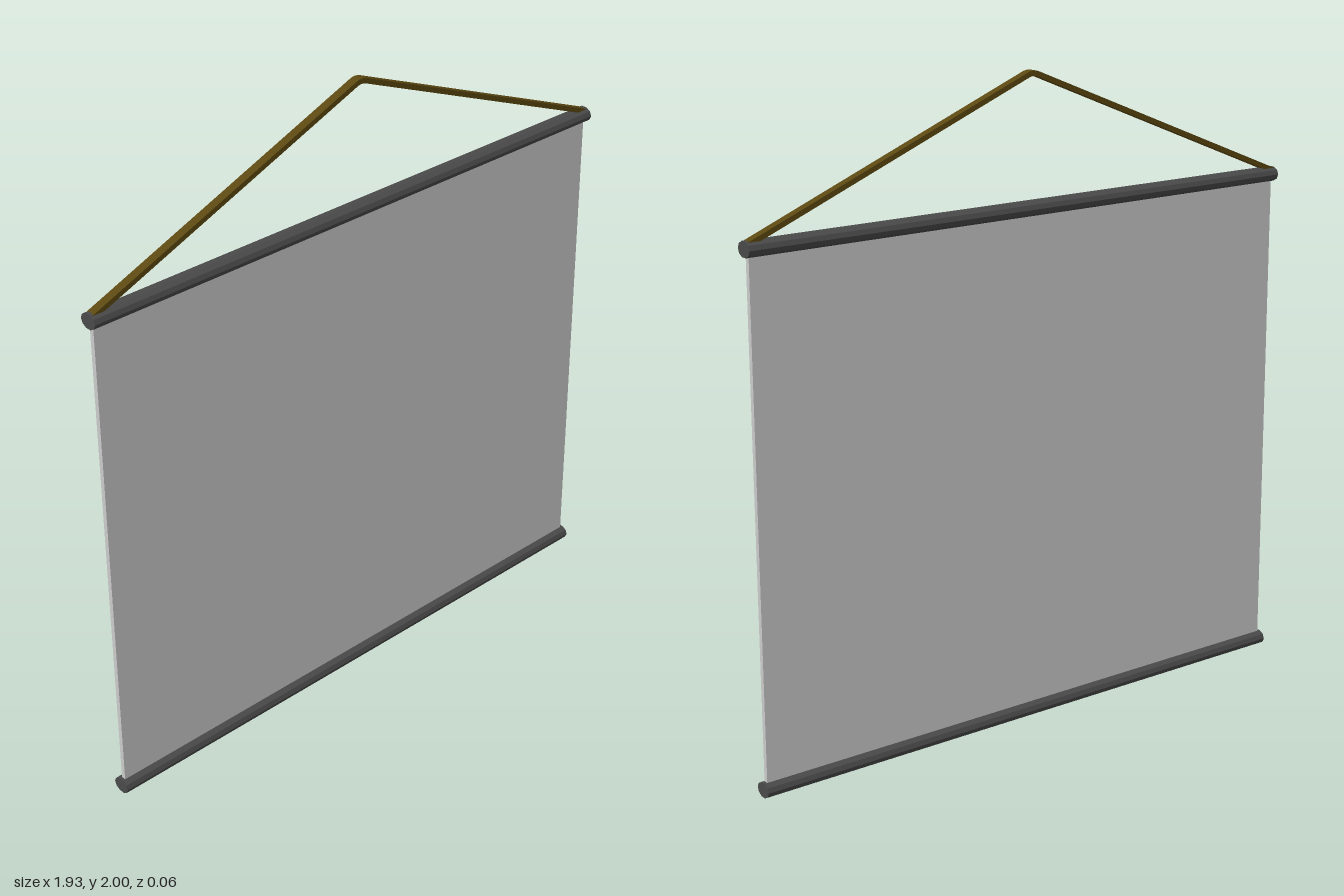
import * as THREE from 'three';

const ROD_LENGTH = 1.934;
const ROD_HALF_HEIGHT = 0.0225;

function addMesh(group, name, geometry, color, flatShading = false) {
  const mesh = new THREE.Mesh(geometry, new THREE.MeshStandardMaterial({ color, flatShading }));
  mesh.name = name;
  group.add(mesh);
  return mesh;
}

// Ten-sided rod lying along x, wider in z than it is tall
function rodGeometry() {
  const geometry = new THREE.CylinderGeometry(1, 1, ROD_LENGTH, 10);
  geometry.rotateZ(Math.PI / 2);
  geometry.scale(1, ROD_HALF_HEIGHT / Math.sin(Math.PI * 0.4), 0.03);
  return geometry;
}

// Flat strap bent over a small rounded peak, extruded across its width
function strapGeometry() {
  const s = new THREE.Shape();
  s.moveTo(-0.967, 1.616);
  s.lineTo(-0.022, 1.995);
  s.quadraticCurveTo(0, 2.005, 0.022, 1.995);
  s.lineTo(0.967, 1.616);
  s.lineTo(0.961, 1.602);
  s.lineTo(0.018, 1.98);
  s.quadraticCurveTo(0, 1.988, -0.018, 1.98);
  s.lineTo(-0.961, 1.602);
  s.closePath();
  const width = 0.028;
  const geometry = new THREE.ExtrudeGeometry(s, { depth: width, bevelEnabled: false, curveSegments: 6 });
  geometry.translate(0, 0, -width / 2);
  return geometry;
}

export function createModel() {
  const model = new THREE.Group();
  model.name = 'hangingScroll';

  // Rods along the bottom and top edges
  const bottomY = ROD_HALF_HEIGHT;
  const topY = 1.598;
  for (const [name, y] of [['bottomRod', bottomY], ['topRod', topY]]) {
    addMesh(model, name, rodGeometry(), 0x4a4a4a, true).position.y = y;
  }

  // Thin sheet stretched between the rods
  const sheet = addMesh(model, 'sheet', new THREE.BoxGeometry(1.914, topY - bottomY, 0.015), 0xcccccc);
  sheet.position.y = (topY + bottomY) / 2;

  // Hanging strap
  addMesh(model, 'hangingStrap', strapGeometry(), 0x5c4810, true);

  return model;
}
